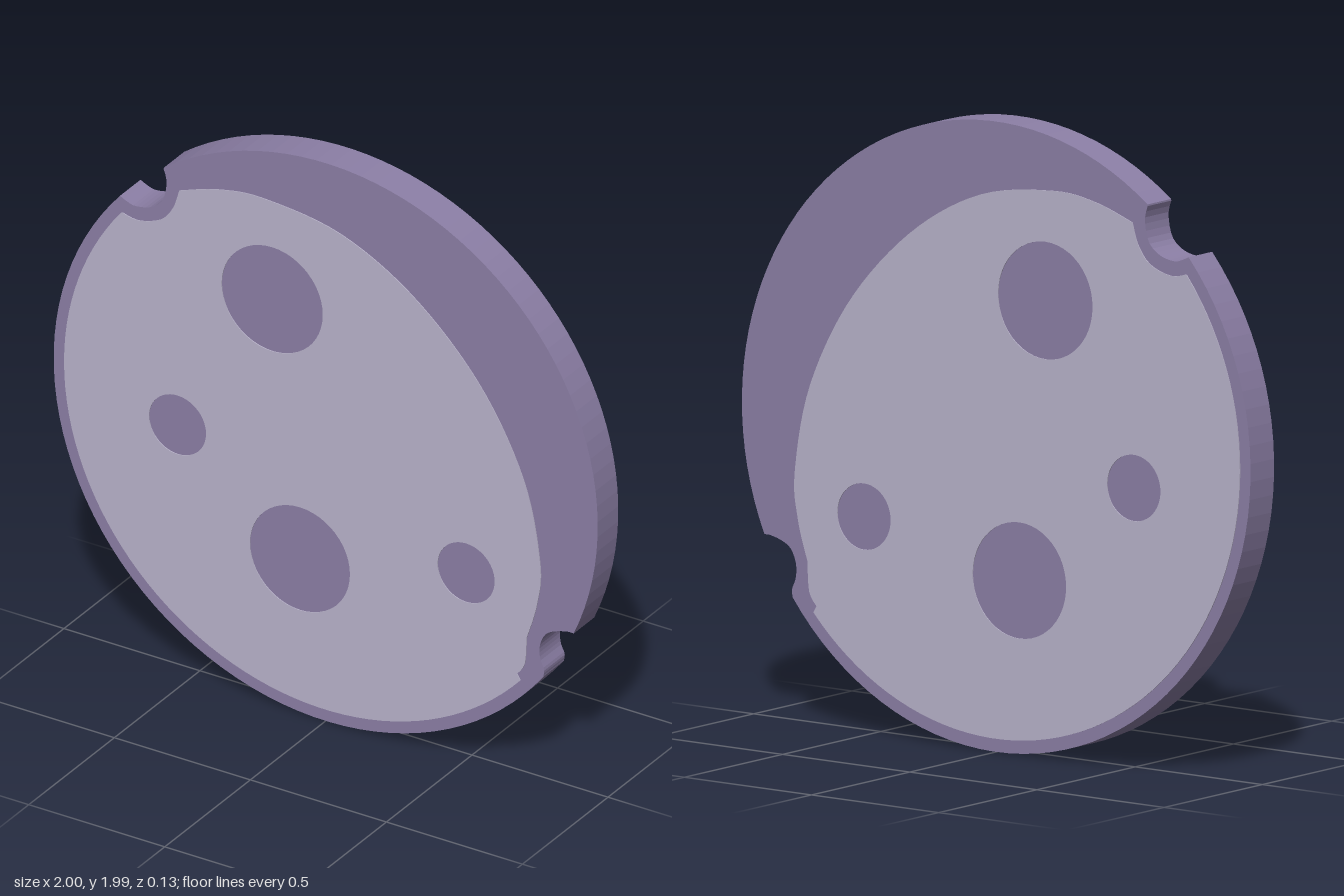
import * as THREE from 'three';

const CENTRE_Y = 0.997, HALF = 0.06, PLATE = 0.003;

const v = ([x, y]) => new THREE.Vector2(x, y);

// Points on the rim circle, from one point counter-clockwise to another
function arc(from, to, rx, ry, steps) {
  const angle = ([x, y]) => Math.atan2((y - CENTRE_Y) / ry, x / rx);
  const a = angle(from);
  let b = angle(to);
  if (b < a) b += Math.PI * 2;
  const points = [];
  for (let i = 0; i <= steps; i++) {
    const t = a + (b - a) * i / steps;
    points.push(new THREE.Vector2(rx * Math.cos(t), CENTRE_Y + ry * Math.sin(t)));
  }
  return points;
}

const smooth = (points, steps) => new THREE.SplineCurve(points.map(v)).getPoints(steps);

// Bites out of the rim
const upperBite = [[-0.6, 1.805], [-0.585, 1.75], [-0.6, 1.68], [-0.645, 1.642], [-0.7, 1.63], [-0.73, 1.637], [-0.757, 1.65]];
const lowerBite = [[0.8, 0.4], [0.803, 0.425], [0.788, 0.463], [0.788, 0.51], [0.81, 0.555], [0.853, 0.578], [0.905, 0.59]];

// Inner edge of the crescent shade, and the pale border beside each bite
const crescentEdge = [[0.74, 0.52], [0.778, 0.65], [0.79, 0.8], [0.73, 1.08], [0.57, 1.37], [0.33, 1.61], [0.06, 1.757], [-0.222, 1.8], [-0.39, 1.783], [-0.537, 1.735]];
const upperBorder = [[-0.537, 1.735], [-0.56, 1.666], [-0.607, 1.61], [-0.69, 1.583], [-0.757, 1.597]];
const lowerBorder = [[0.7, 0.377], [0.733, 0.425], [0.74, 0.52]];

// Craters: x, y, radius
const craters = [[-0.195, 1.45, 0.186], [-0.543, 0.896, 0.105], [-0.093, 0.553, 0.184], [0.518, 0.687, 0.105]];

export function createModel() {
  const group = new THREE.Group();
  group.name = 'moonDisc';
  const shadeMat = new THREE.MeshStandardMaterial({ color: 0x8c7fa6 });
  shadeMat.name = 'shadePurple';
  const paleMat = new THREE.MeshStandardMaterial({ color: 0xb9b3cb });
  paleMat.name = 'paleLilac';

  // Thick disc with two bites
  const discShape = new THREE.Shape([
    ...arc([0.905, 0.59], [-0.6, 1.805], 1, 0.997, 48),
    ...smooth(upperBite, 20).slice(1, -1),
    ...arc([-0.757, 1.65], [0.8, 0.4], 1, 0.997, 56),
    ...smooth(lowerBite, 20).slice(1, -1),
  ]);
  const discGeo = new THREE.ExtrudeGeometry(discShape, { depth: HALF * 2, bevelEnabled: false });
  discGeo.translate(0, 0, -HALF);
  const disc = new THREE.Mesh(discGeo, shadeMat);
  disc.name = 'disc';
  group.add(disc);

  // Pale face plates, with craters open to the disc below
  const faceShape = new THREE.Shape([
    ...smooth(crescentEdge, 60),
    ...smooth(upperBorder, 16).slice(1, -1),
    ...arc([-0.757, 1.597], [0.7, 0.377], 0.96, 0.955, 64),
    ...smooth(lowerBorder, 10).slice(1, -1),
  ]);
  for (const [x, y, r] of craters) {
    faceShape.holes.push(new THREE.Path().absarc(x, y, r, 0, Math.PI * 2, true));
  }
  const faceGeo = new THREE.ExtrudeGeometry(faceShape, { depth: PLATE, bevelEnabled: false, curveSegments: 24 });
  for (const [name, z] of [['frontFace', HALF], ['backFace', -HALF - PLATE]]) {
    const face = new THREE.Mesh(faceGeo, paleMat);
    face.name = name;
    face.position.z = z;
    group.add(face);
  }
  return group;
}
